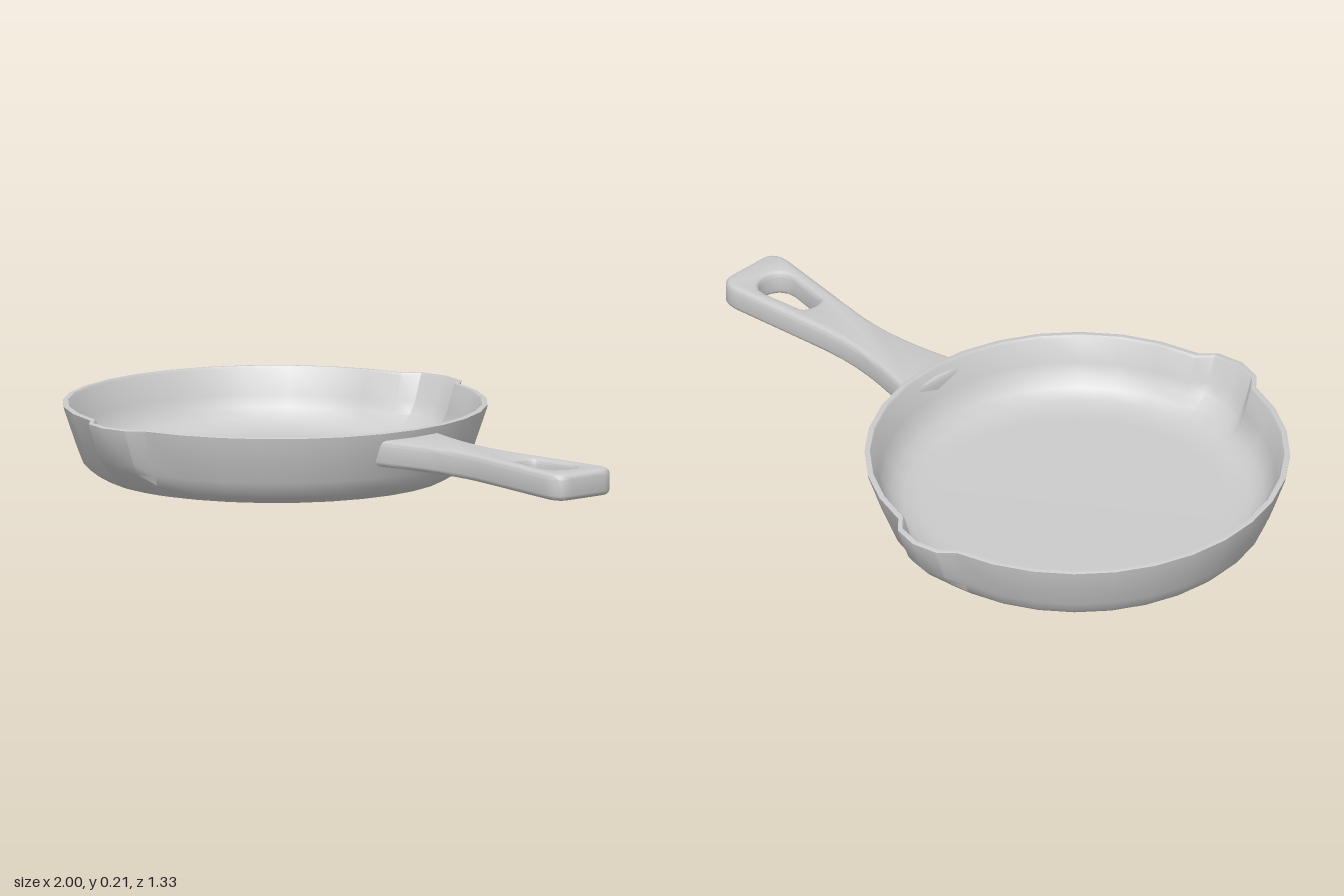
import * as THREE from 'three';
import { toCreasedNormals } from 'three/addons/utils/BufferGeometryUtils.js';

const material = new THREE.MeshStandardMaterial({ color: 0xcccccc });
const PAN_X = -0.38;

// Pan cross-section, underside to rim to cooking floor: [radius, height, spout strength]
const profile = [
  [0, 0, 0], [0.505, 0, 0], [0.54, 0.02, 0], [0.56, 0.04, 0.1], [0.572, 0.07, 0.6],
  [0.583, 0.1, 0.9], [0.617, 0.2, 1], [0.618, 0.208, 1], [0.612, 0.21, 1],
  [0.602, 0.21, 1], [0.597, 0.203, 1], [0.576, 0.13, 0.9], [0.56, 0.095, 0.7],
  [0.538, 0.066, 0.3], [0.505, 0.046, 0], [0.46, 0.036, 0], [0.42, 0.035, 0], [0, 0.035, 0],
];

// 32-sided ring with extra steps for the two pouring spouts: [angle in degrees, spout bulge]
function ringSteps() {
  const steps = [];
  for (let i = 0; i < 32; i++) {
    const angle = i * 11.25;
    const isSpout = i === 8 || i === 24;
    if (isSpout) steps.push([angle - 7, 0.035]);
    steps.push([angle, isSpout ? 0.047 : 0]);
    if (isSpout) steps.push([angle + 7, 0.035]);
  }
  return steps;
}

function panGeometry() {
  const steps = ringSteps();
  const n = steps.length, m = profile.length;
  const positions = [], index = [];
  for (const [degrees, bulge] of steps) {
    const a = THREE.MathUtils.degToRad(degrees);
    for (const [radius, y, strength] of profile) {
      const r = radius + bulge * strength;
      positions.push(r * Math.cos(a), y, r * Math.sin(a));
    }
  }
  for (let i = 0; i < n; i++) {
    for (let j = 0; j < m - 1; j++) {
      const a = i * m + j, b = ((i + 1) % n) * m + j;
      if (j < m - 2) index.push(a, a + 1, b + 1);
      if (j > 0) index.push(a, b + 1, b);
      if (j === m - 2) continue;
    }
  }
  // Close the floor centre: the last band keeps one triangle per step
  const geometry = new THREE.BufferGeometry();
  geometry.setAttribute('position', new THREE.Float32BufferAttribute(positions, 3));
  geometry.setIndex(index);
  return toCreasedNormals(geometry, 0.5);
}

function handleGeometry() {
  // Waisted outline with a rounded tip
  const shape = new THREE.Shape();
  shape.moveTo(0.2, -0.118);
  shape.bezierCurveTo(0.36, -0.075, 0.48, -0.05, 0.66, -0.076);
  shape.lineTo(0.93, -0.109);
  shape.bezierCurveTo(0.97, -0.113, 1, -0.1, 1, -0.06);
  shape.lineTo(1, 0.06);
  shape.bezierCurveTo(1, 0.1, 0.97, 0.113, 0.93, 0.109);
  shape.lineTo(0.66, 0.076);
  shape.bezierCurveTo(0.48, 0.05, 0.36, 0.075, 0.2, 0.118);
  shape.closePath();

  // Tapered hanging hole
  const hole = new THREE.Path();
  hole.moveTo(0.735, -0.038);
  hole.bezierCurveTo(0.712, -0.034, 0.712, 0.034, 0.735, 0.038);
  hole.lineTo(0.86, 0.057);
  hole.bezierCurveTo(0.94, 0.066, 0.94, -0.066, 0.86, -0.057);
  hole.closePath();
  shape.holes.push(hole);

  const bevel = 0.015, height = 0.078;
  const geometry = new THREE.ExtrudeGeometry(shape, {
    depth: height - 2 * bevel, curveSegments: 8,
    bevelEnabled: true, bevelSize: bevel, bevelThickness: bevel, bevelOffset: -bevel, bevelSegments: 3,
  });
  geometry.rotateX(Math.PI / 2);
  geometry.translate(0, 0.186 - bevel, 0);
  return toCreasedNormals(geometry, 0.7);
}

export function createModel() {
  const group = new THREE.Group();
  group.name = 'fryingPan';

  const pan = new THREE.Mesh(panGeometry(), material);
  pan.name = 'panBody';
  pan.position.x = PAN_X;

  const handle = new THREE.Mesh(handleGeometry(), material);
  handle.name = 'handle';

  group.add(pan, handle);
  return group;
}
